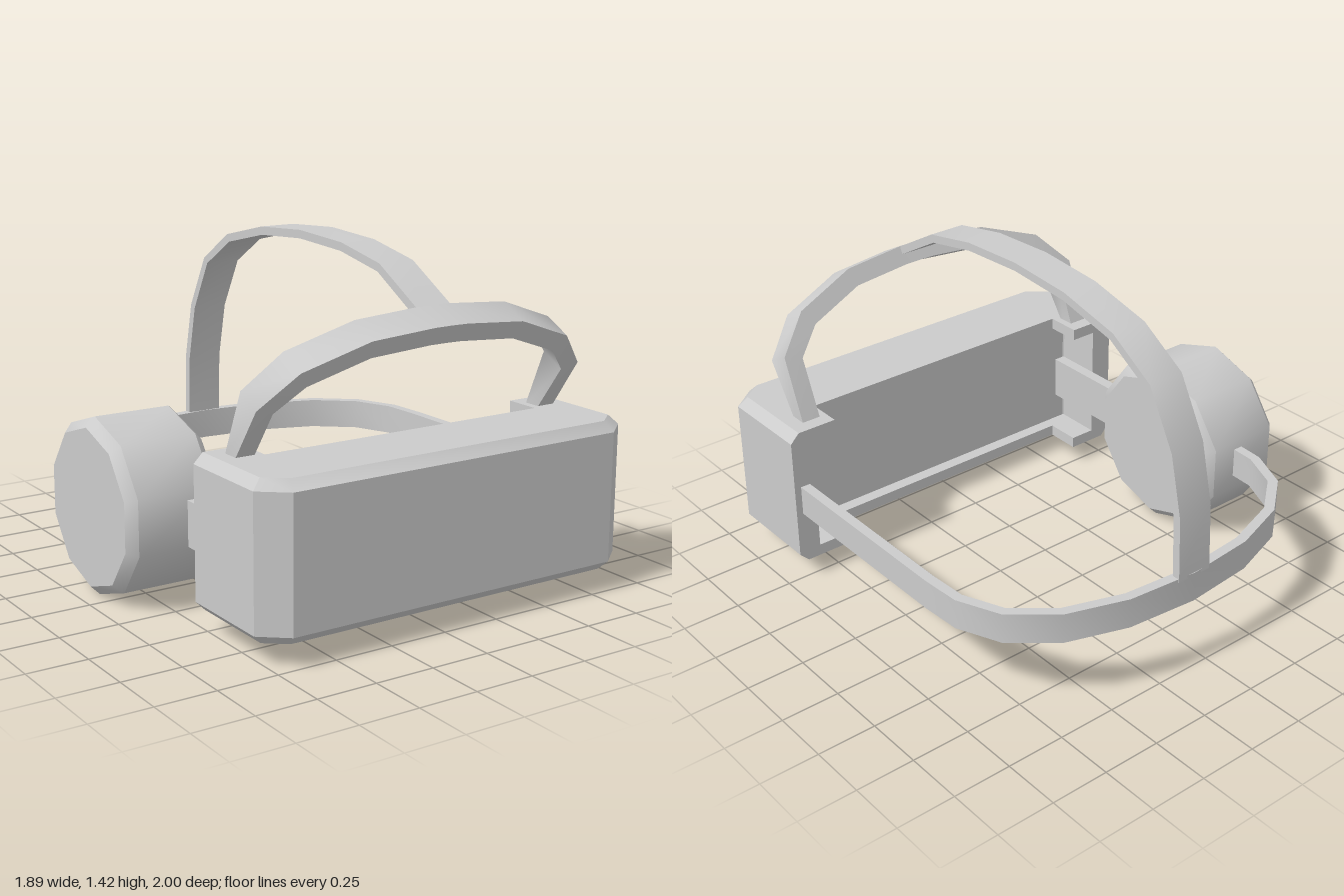
import * as THREE from 'three';
import { toCreasedNormals } from 'three/addons/utils/BufferGeometryUtils.js';

const MID = 0.0725; // mirror plane of the visor and straps
const material = new THREE.MeshStandardMaterial({ color: 0xcccccc });

function add(group, name, geometry) {
  const mesh = new THREE.Mesh(geometry, material);
  mesh.name = name;
  group.add(mesh);
  return mesh;
}

// Skin closed cross-sections (counterclockwise seen from the far end) and cap both ends
function loft(rings, crease) {
  const n = rings[0].length;
  const index = [];
  for (let i = 0; i < rings.length - 1; i++) {
    for (let j = 0; j < n; j++) {
      const a = i * n + j, b = i * n + (j + 1) % n;
      index.push(a, b, b + n, a, b + n, a + n);
    }
  }
  const last = (rings.length - 1) * n;
  for (let j = 1; j < n - 1; j++) {
    index.push(0, j + 1, j, last, last + j, last + j + 1);
  }
  const geometry = new THREE.BufferGeometry();
  geometry.setAttribute('position', new THREE.Float32BufferAttribute(rings.flat(2), 3));
  geometry.setIndex(index);
  return toCreasedNormals(geometry, crease);
}

// Flat band along the middle of its outer surface; widths may vary per point
function band(points, across, widths, thickness) {
  const path = points.map((p) => new THREE.Vector3(...p));
  const side = new THREE.Vector3(...across).normalize();
  const rings = path.map((p, i) => {
    const tangent = path[Math.min(i + 1, path.length - 1)].clone()
      .sub(path[Math.max(i - 1, 0)]).normalize();
    const inward = tangent.cross(side).normalize().multiplyScalar(-thickness);
    const half = (Array.isArray(widths) ? widths[i] : widths) / 2;
    const a = p.clone().addScaledVector(side, half);
    const b = p.clone().addScaledVector(side, -half);
    return [a, b, b.clone().add(inward), a.clone().add(inward)].map((v) => v.toArray());
  });
  return loft(rings, 0.9);
}

// Append the mirror image of a half path; its last point stays unique on the centre line
function mirrored(half, mid) {
  return [...half, ...half.slice(0, -1).reverse().map(([x, ...rest]) => [2 * mid - x, ...rest])];
}

function box(x0, x1, y0, y1, z0, z1) {
  return new THREE.BoxGeometry(x1 - x0, y1 - y0, z1 - z0)
    .translate((x0 + x1) / 2, (y0 + y1) / 2, (z0 + z1) / 2);
}

function createVisor() {
  const visor = new THREE.Group();
  visor.name = 'visor';

  // Bevelled wall around the front and sides: plan points as outer, inset and inner x, z
  const plan = [
    [0.94, 0.49, 0.90, 0.49, 0.84, 0.49],
    [0.94, 0.91, 0.90, 0.89, 0.84, 0.695],
    [0.83, 1.00, 0.815, 0.958, 0.835, 0.70],
  ];
  const flip = (p) => p.map((v, i) => (i % 2 ? v : 2 * MID - v));
  const stations = [...plan, ...[...plan].reverse().map(flip)];
  const rings = stations.map(([ox, oz, bx, bz, ix, iz]) => [
    [ox, 0.13, oz], [ox, 0.67, oz], [bx, 0.71, bz],
    [ix, 0.71, iz], [ix, 0.09, iz], [bx, 0.09, bz],
  ]);
  add(visor, 'visorShell', loft(rings, 0.6));

  // Top and bottom lips with a notch at the face side
  for (const [name, y] of [['top', 0.66], ['bottom', 0.09]]) {
    add(visor, name + 'Lip', box(-0.695, 0.84, y, y + 0.05, 0.645, 0.70));
    add(visor, name + 'RightTab', box(-0.695, -0.58, y, y + 0.05, 0.49, 0.645));
    add(visor, name + 'LeftTab', box(0.725, 0.84, y, y + 0.05, 0.49, 0.645));
  }
  return visor;
}

export function createModel() {
  const model = new THREE.Group();
  model.name = 'headset';
  model.add(createVisor());

  // Round ten-sided earpiece on the right
  const profile = [[0, -0.205], [0.33, -0.205], [0.37, -0.165], [0.37, 0.165], [0.33, 0.205], [0, 0.205]]
    .map(([r, y]) => new THREE.Vector2(r, y));
  const drum = new THREE.LatheGeometry(profile, 10, Math.PI / 2);
  drum.rotateZ(Math.PI / 2).translate(-0.745, 0.375, -0.09);
  add(model, 'earpiece', toCreasedNormals(drum, 0.7));

  // Arm joining the earpiece to the visor
  add(model, 'earpieceArm', box(-0.695, -0.645, 0.265, 0.455, 0.2, 0.70));

  // Strap around the back of the head, ending inside the earpiece
  const around = mirrored([
    [0.91, 0.39, -0.38], [0.90, 0.39, -0.555], [0.82, 0.39, -0.74],
    [0.645, 0.39, -0.885], [0.39, 0.39, -0.972], [0.085, 0.39, -1],
  ], 0.085);
  add(model, 'backStrap', band([[0.91, 0.39, 0.5], ...around, [-0.74, 0.39, -0.3]], [0, 1, 0], 0.13, 0.043));

  // Strap over the crown, from the front arch to the back strap
  const crown = [
    [0.80, 1.225], [0.56, 1.36], [0.30, 1.41], [0, 1.425], [-0.30, 1.405], [-0.585, 1.34],
    [-0.795, 1.21], [-0.925, 0.975], [-0.985, 0.72], [-0.997, 0.44],
  ].map(([z, y], i) => [0.07 + i * 0.0017, y, z]);
  add(model, 'crownStrap', band(crown, [-1, 0, 0], 0.16, 0.035));

  // Leaning arch rising from the visor top
  const arch = mirrored([
    [0.84, 0.69], [0.838, 0.94], [0.70, 1.08], [0.425, 1.175], [0.15, 1.197], [MID, 1.198],
  ], MID).map(([x, y]) => [x, y, 0.582 + (y - 0.7) * 0.55]);
  const halfWidths = [0.06, 0.12, 0.13, 0.13, 0.13];
  add(model, 'frontArch', band(arch, [0, -0.46, 0.885], [...halfWidths, 0.13, ...halfWidths.reverse()], 0.082));

  return model;
}
